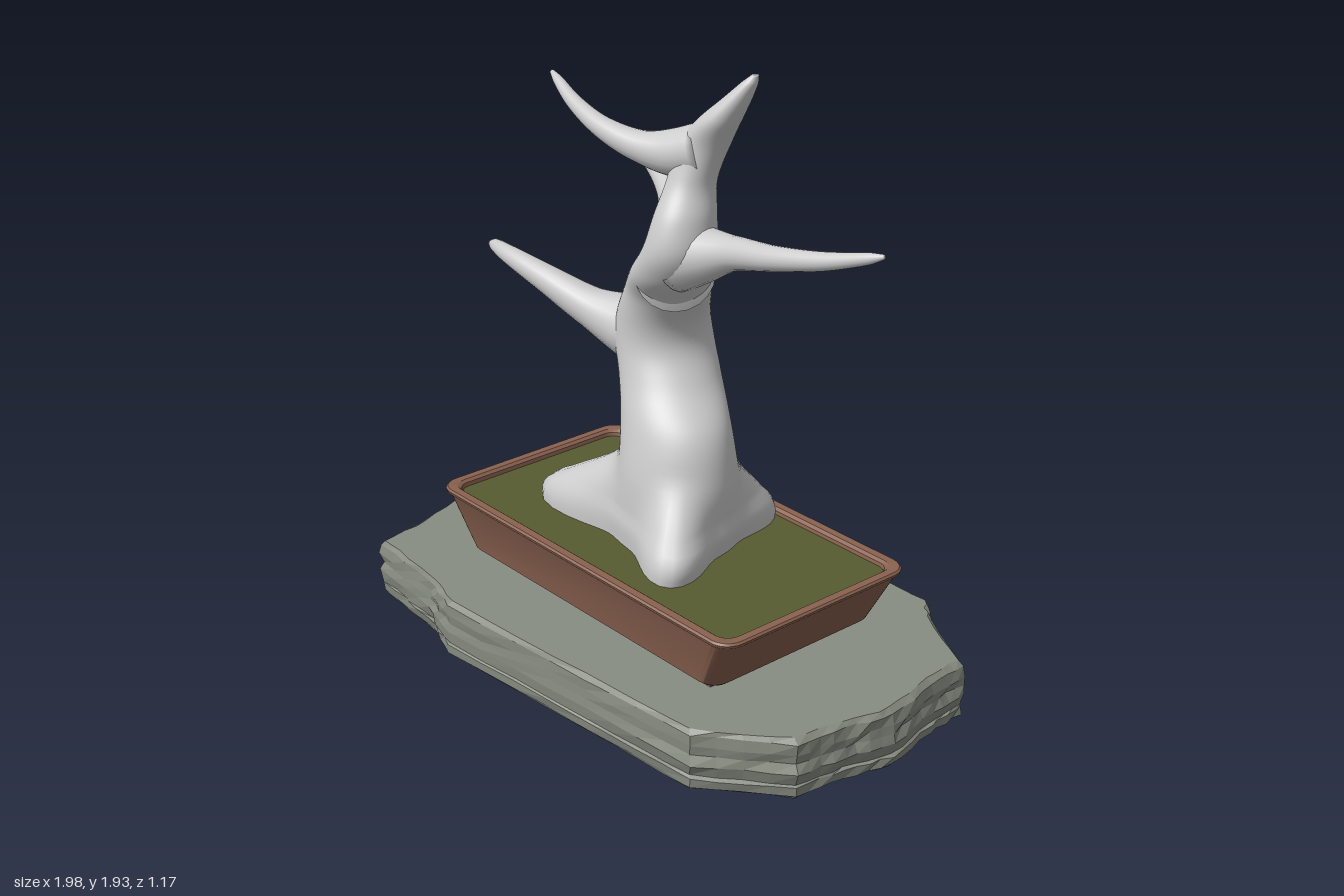
import * as THREE from 'three';
import { toCreasedNormals } from 'three/addons/utils/BufferGeometryUtils.js';

const V = (p) => new THREE.Vector3(...p);

// Skin a stack of equal-length rings of Vector3, with optional end caps.
function loft(rings, capStart = true, capEnd = true) {
  const n = rings[0].length, pos = [], idx = [];
  rings.forEach((ring) => ring.forEach((p) => pos.push(p.x, p.y, p.z)));
  for (let i = 0; i < rings.length - 1; i++) {
    for (let j = 0; j < n; j++) {
      const a = i * n + j, b = i * n + (j + 1) % n, c = a + n, d = b + n;
      idx.push(a, c, b, b, c, d);
    }
  }
  const cap = (row, flip) => {
    const centre = new THREE.Vector3();
    rings[row].forEach((p) => centre.addScaledVector(p, 1 / n));
    const k = pos.length / 3;
    pos.push(centre.x, centre.y, centre.z);
    for (let j = 0; j < n; j++) {
      const a = row * n + j, b = row * n + (j + 1) % n;
      idx.push(k, flip ? b : a, flip ? a : b);
    }
  };
  if (capStart) cap(0, false);
  if (capEnd) cap(rings.length - 1, true);
  const g = new THREE.BufferGeometry();
  g.setAttribute('position', new THREE.Float32BufferAttribute(pos, 3));
  g.setIndex(idx);
  g.computeVertexNormals();
  return g;
}

// Rounded rectangle ring at height y.
function rectRing(hx, hz, r, y) {
  const ring = [], steps = 6;
  [[1, 1], [-1, 1], [-1, -1], [1, -1]].forEach(([sx, sz], q) => {
    for (let i = 0; i <= steps; i++) {
      const a = (q + i / steps) * Math.PI / 2;
      ring.push(new THREE.Vector3(sx * (hx - r) + r * Math.cos(a), y, sz * (hz - r) + r * Math.sin(a)));
    }
  });
  return ring;
}

// Tapered branch; each station is [x, y, z, radius].
function branch(stations) {
  const steps = 36, sides = 20;
  const path = new THREE.CatmullRomCurve3(stations.map((s) => V(s.slice(0, 3))));
  const size = new THREE.CatmullRomCurve3(stations.map((s) => V([s[3], 0, 0])));
  const { normals, binormals } = path.computeFrenetFrames(steps, false);
  const rings = [];
  for (let i = 0; i <= steps; i++) {
    const t = path.getUtoTmapping(i / steps);
    const c = path.getPoint(t), r = size.getPoint(t).x, ring = [];
    for (let j = 0; j < sides; j++) {
      const a = j / sides * Math.PI * 2;
      ring.push(c.clone().addScaledVector(normals[i], r * Math.cos(a)).addScaledVector(binormals[i], -r * Math.sin(a)));
    }
    rings.push(ring);
  }
  return loft(rings);
}

// Trunk: elliptical sections [x, y, z, rx, rz] with root lobes swelling out near the soil.
function trunk() {
  const sections = [
    [0.03, 0.39, -0.01, 0.21, 0.18], [0.04, 0.52, -0.01, 0.21, 0.18], [0.05, 0.65, -0.01, 0.2, 0.175],
    [0.02, 0.8, -0.025, 0.19, 0.155], [-0.06, 0.92, -0.07, 0.165, 0.155], [-0.11, 1.02, -0.09, 0.155, 0.155],
    [-0.1, 1.1, -0.08, 0.145, 0.145], [-0.04, 1.2, -0.045, 0.14, 0.128], [0.05, 1.3, 0.015, 0.13, 0.122],
    [0.115, 1.4, 0.04, 0.105, 0.115], [0.125, 1.5, 0.03, 0.085, 0.1], [0.115, 1.6, -0.005, 0.07, 0.078],
    [0.13, 1.7, -0.035, 0.08, 0.075], [0.195, 1.79, -0.04, 0.062, 0.066], [0.25, 1.86, -0.055, 0.04, 0.045],
    [0.285, 1.91, -0.068, 0.024, 0.026], [0.3, 1.935, -0.075, 0.01, 0.011],
  ];
  const roots = [[2.9, 0.31, 0.42], [0.8, 0.17, 0.4], [-1.3, 0.16, 0.42]]; // angle, reach, width
  const path = new THREE.CatmullRomCurve3(sections.map((s) => V(s.slice(0, 3))));
  const size = new THREE.CatmullRomCurve3(sections.map((s) => V([s[3], 0, s[4]])));
  const rings = [], steps = 96, sides = 64;
  for (let i = 0; i <= steps; i++) {
    const c = path.getPoint(i / steps), s = size.getPoint(i / steps), ring = [];
    const flare = 1 - THREE.MathUtils.smoothstep(c.y, 0.42, 0.7);
    for (let j = 0; j < sides; j++) {
      const a = j / sides * Math.PI * 2;
      let lobe = 0;
      for (const [angle, reach, width] of roots) {
        const d = Math.atan2(Math.sin(a - angle), Math.cos(a - angle)) / width;
        lobe += flare * reach * Math.exp(-d * d);
      }
      ring.push(new THREE.Vector3(c.x + (s.x + lobe) * Math.cos(a), c.y, c.z + (s.z + lobe) * Math.sin(a)));
    }
    rings.push(ring);
  }
  return loft(rings);
}

// Rough stone slab: one irregular outline, stacked in slightly shifted strata.
function slab() {
  const corners = [
    [-0.95, -0.4], [-0.8, -0.43], [-0.53, -0.575], [-0.21, -0.56], [0.14, -0.575], [0.51, -0.59], [0.61, -0.59],
    [0.69, -0.52], [0.94, -0.39], [0.95, -0.24], [0.995, -0.03], [0.95, 0.13], [0.93, 0.3], [0.69, 0.5],
    [0.25, 0.535], [-0.39, 0.585], [-0.56, 0.535], [-0.88, 0.51], [-0.92, 0.32], [-0.995, 0.08], [-0.97, -0.19],
  ];
  const outline = [];
  corners.forEach(([x, z], i) => {
    const [nx, nz] = corners[(i + 1) % corners.length];
    for (let k = 0; k < 4; k++) outline.push([x + (nx - x) * k / 4, z + (nz - z) * k / 4]);
  });
  let seed = 7;
  const rand = () => (seed = seed * 16807 % 2147483647) / 2147483647;
  const layers = [[0, 0.965], [0.015, 0.985], [0.045, 0.99], [0.05, 0.982], [0.09, 0.995],
    [0.12, 0.985], [0.15, 0.99], [0.185, 0.985], [0.2, 0.968]];
  return loft(layers.map(([y, k], row) => outline.map(([x, z]) => {
    const f = k + (rand() - 0.5) * 0.014;
    const dy = row > 0 && row < layers.length - 1 ? (rand() - 0.5) * 0.004 : 0;
    return new THREE.Vector3(x * f, y + dy, z * f);
  })));
}

export function createModel() {
  const model = new THREE.Group();
  model.name = 'bonsai';
  const wood = new THREE.MeshStandardMaterial({ color: 0xcccccc });
  const clay = new THREE.MeshStandardMaterial({ color: 0x8a6250 });
  const moss = new THREE.MeshStandardMaterial({ color: 0x565c30 });
  const stone = new THREE.MeshStandardMaterial({ color: 0x888d82, flatShading: true });
  const add = (parent, name, geometry, material) => {
    const mesh = new THREE.Mesh(geometry, material);
    mesh.name = name;
    parent.add(mesh);
    return mesh;
  };

  add(model, 'stoneSlab', slab(), stone);

  // Pot: tapered tray with a thin lip, open at the top
  const pot = new THREE.Group();
  pot.name = 'pot';
  model.add(pot);
  const wall = [
    [0.59, 0.325, 0.05, 0.23], [0.6, 0.335, 0.06, 0.238], [0.685, 0.365, 0.06, 0.405], [0.698, 0.376, 0.065, 0.417],
    [0.7, 0.378, 0.065, 0.426], [0.694, 0.372, 0.06, 0.432], [0.668, 0.346, 0.05, 0.432], [0.658, 0.336, 0.045, 0.424],
    [0.65, 0.33, 0.045, 0.38],
  ];
  add(pot, 'potWall', toCreasedNormals(loft(wall.map((w) => rectRing(...w)), true, false), 0.6), clay);
  for (const x of [-1, 1]) {
    for (const z of [-1, 1]) {
      add(pot, 'potFoot', new THREE.BoxGeometry(0.15, 0.04, 0.11), clay).position.set(x * 0.465, 0.215, z * 0.235);
    }
  }
  add(model, 'soil', toCreasedNormals(loft([rectRing(0.654, 0.334, 0.045, 0.39), rectRing(0.654, 0.334, 0.045, 0.412)]), 0.6), moss);

  // Tree
  const tree = new THREE.Group();
  tree.name = 'tree';
  model.add(tree);
  add(tree, 'trunk', trunk(), wood);
  const branches = {
    lowerBranch: [[-0.1, 1.01, -0.08, 0.12], [-0.22, 1.03, -0.04, 0.1], [-0.34, 1.065, 0.01, 0.066],
      [-0.5, 1.125, 0.06, 0.046], [-0.68, 1.165, 0.08, 0.03], [-0.79, 1.16, 0.052, 0.02], [-0.83, 1.152, 0.04, 0.008]],
    backBranch: [[0.08, 1.3, 0.03, 0.12], [-0.02, 1.3, -0.05, 0.1], [-0.13, 1.335, -0.16, 0.063],
      [-0.29, 1.4, -0.27, 0.043], [-0.48, 1.475, -0.325, 0.028], [-0.63, 1.525, -0.315, 0.018], [-0.685, 1.543, -0.3, 0.007]],
    rightBranch: [[0.11, 1.37, 0.03, 0.11], [0.2, 1.395, 0.02, 0.085], [0.32, 1.43, 0.018, 0.052],
      [0.5, 1.467, 0.028, 0.037], [0.68, 1.505, 0.01, 0.027], [0.82, 1.545, -0.02, 0.017], [0.865, 1.56, -0.03, 0.007]],
    upperBranch: [[0.14, 1.69, -0.03, 0.08], [0.05, 1.665, 0.005, 0.072], [-0.05, 1.668, 0.05, 0.049],
      [-0.19, 1.7, 0.08, 0.034], [-0.34, 1.745, 0.07, 0.024], [-0.44, 1.786, 0.05, 0.016], [-0.48, 1.803, 0.042, 0.007]],
  };
  for (const [name, stations] of Object.entries(branches)) add(tree, name, branch(stations), wood);
  return model;
}
